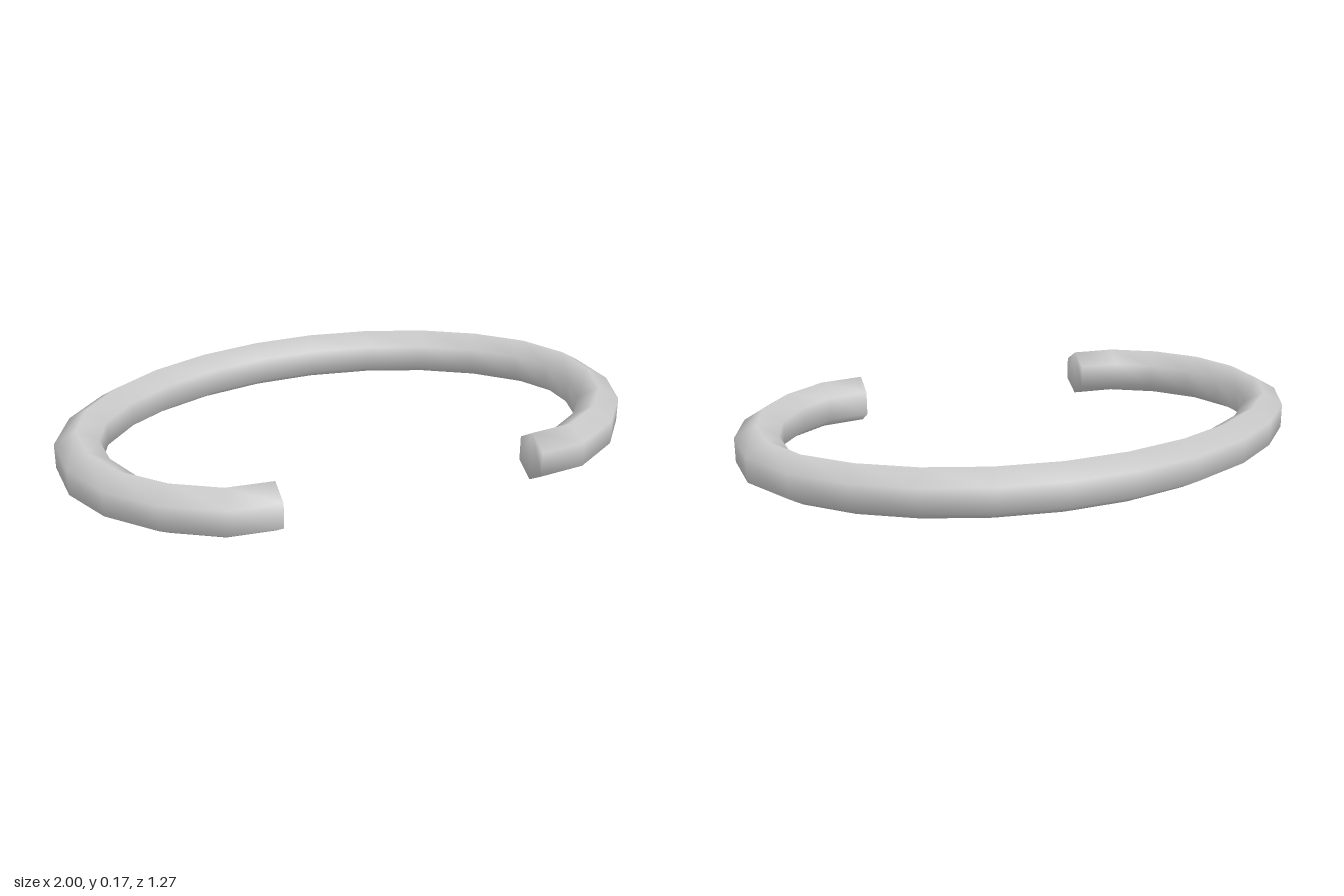
import * as THREE from 'three';

// Half of the ring from the back middle to the open tip: outer x, outer z, inner x, inner z
const HALF = [
  [0.115, -0.64, 0.108, -0.5], [0.355, -0.598, 0.315, -0.46], [0.58, -0.51, 0.508, -0.387],
  [0.76, -0.39, 0.68, -0.28], [0.91, -0.235, 0.8, -0.153], [1, -0.045, 0.855, -0.018],
  [1, 0.165, 0.855, 0.13], [0.93, 0.347, 0.807, 0.28], [0.8, 0.502, 0.708, 0.398],
  [0.615, 0.615, 0.59, 0.475], [0.447, 0.632, 0.447, 0.492],
];
const RADIUS = 0.085;
const SIDES = 6;

function createModel() {
  const mirrored = HALF.map(([ox, oz, ix, iz]) => [-ox, oz, -ix, iz]);
  const stations = [...mirrored.reverse(), ...HALF];
  const positions = [];
  const index = [];

  // Six-sided section at every station, with a corner at the top and bottom
  for (const [ox, oz, ix, iz] of stations) {
    for (let k = 0; k < SIDES; k++) {
      const a = (k / SIDES) * Math.PI * 2;
      const t = 0.5 + 0.5 * Math.sin(a) / Math.sin(Math.PI / 3);
      positions.push(ix + (ox - ix) * t, RADIUS * (1 + Math.cos(a)), iz + (oz - iz) * t);
    }
  }

  // Tube walls
  for (let i = 0; i < stations.length - 1; i++) {
    for (let k = 0; k < SIDES; k++) {
      const a = i * SIDES + k;
      const b = i * SIDES + (k + 1) % SIDES;
      index.push(a, b, a + SIDES, b, b + SIDES, a + SIDES);
    }
  }

  // Closed tips
  const last = (stations.length - 1) * SIDES;
  for (let k = 1; k < SIDES - 1; k++) {
    index.push(0, k + 1, k);
    index.push(last, last + k, last + k + 1);
  }

  const geometry = new THREE.BufferGeometry();
  geometry.setAttribute('position', new THREE.Float32BufferAttribute(positions, 3));
  geometry.setIndex(index);
  geometry.computeVertexNormals();

  const ring = new THREE.Mesh(geometry, new THREE.MeshStandardMaterial({ color: 0xcccccc, side: THREE.DoubleSide }));
  ring.name = 'openRing';
  const group = new THREE.Group();
  group.name = 'openOvalRing';
  group.add(ring);
  return group;
}

export { createModel };
